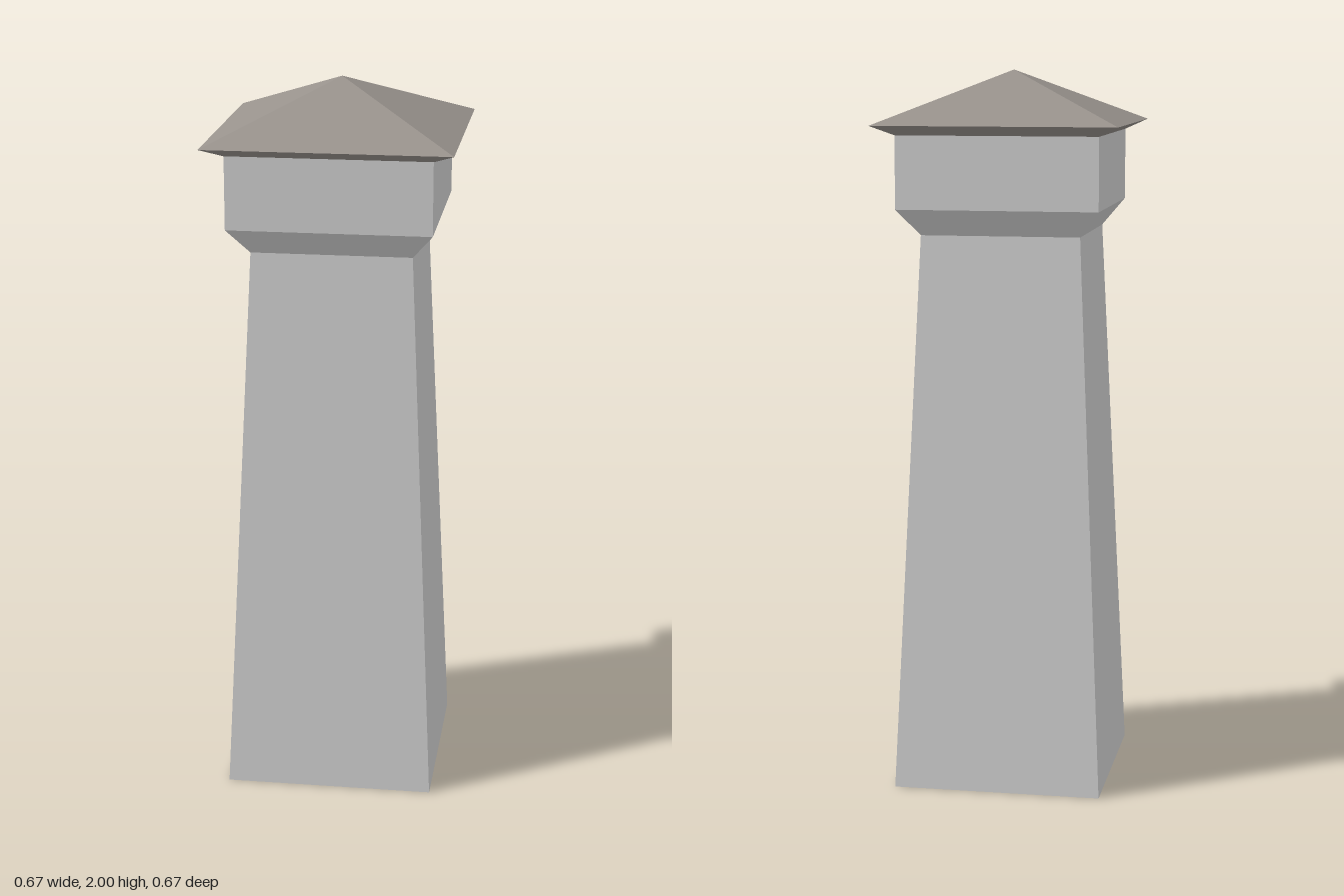
import * as THREE from 'three';

const wall = new THREE.MeshStandardMaterial({ color: 0xd0d0d0, flatShading: true, side: THREE.DoubleSide });
wall.name = 'pale stone';
const slate = new THREE.MeshStandardMaterial({ color: 0x98928c, flatShading: true, side: THREE.DoubleSide });
slate.name = 'warm grey roof';

// Open square ring that tapers from half-width w0 at y0 to w1 at y1
function squareRing(name, w0, y0, w1, y1, material) {
  const geometry = new THREE.CylinderGeometry(w1 * Math.SQRT2, w0 * Math.SQRT2, y1 - y0, 4, 1, true);
  geometry.rotateY(Math.PI / 4);
  geometry.translate(0, (y0 + y1) / 2, 0);
  const mesh = new THREE.Mesh(geometry, material);
  mesh.name = name;
  return mesh;
}

export function createModel() {
  const tower = new THREE.Group();
  tower.name = 'tower';
  tower.add(
    // Hollow tapered shaft, open at the bottom
    squareRing('shaft', 0.29, 0, 0.22, 1.555, wall),
    // Flared corbel carrying the upper room
    squareRing('corbel', 0.22, 1.555, 0.278, 1.628, wall),
    squareRing('upperRoom', 0.278, 1.628, 0.278, 1.828, wall),
    // Sloping eaves and pyramid roof
    squareRing('eaves', 0.278, 1.828, 0.336, 1.855, slate),
    squareRing('roof', 0.336, 1.855, 0, 2, slate),
  );
  return tower;
}
